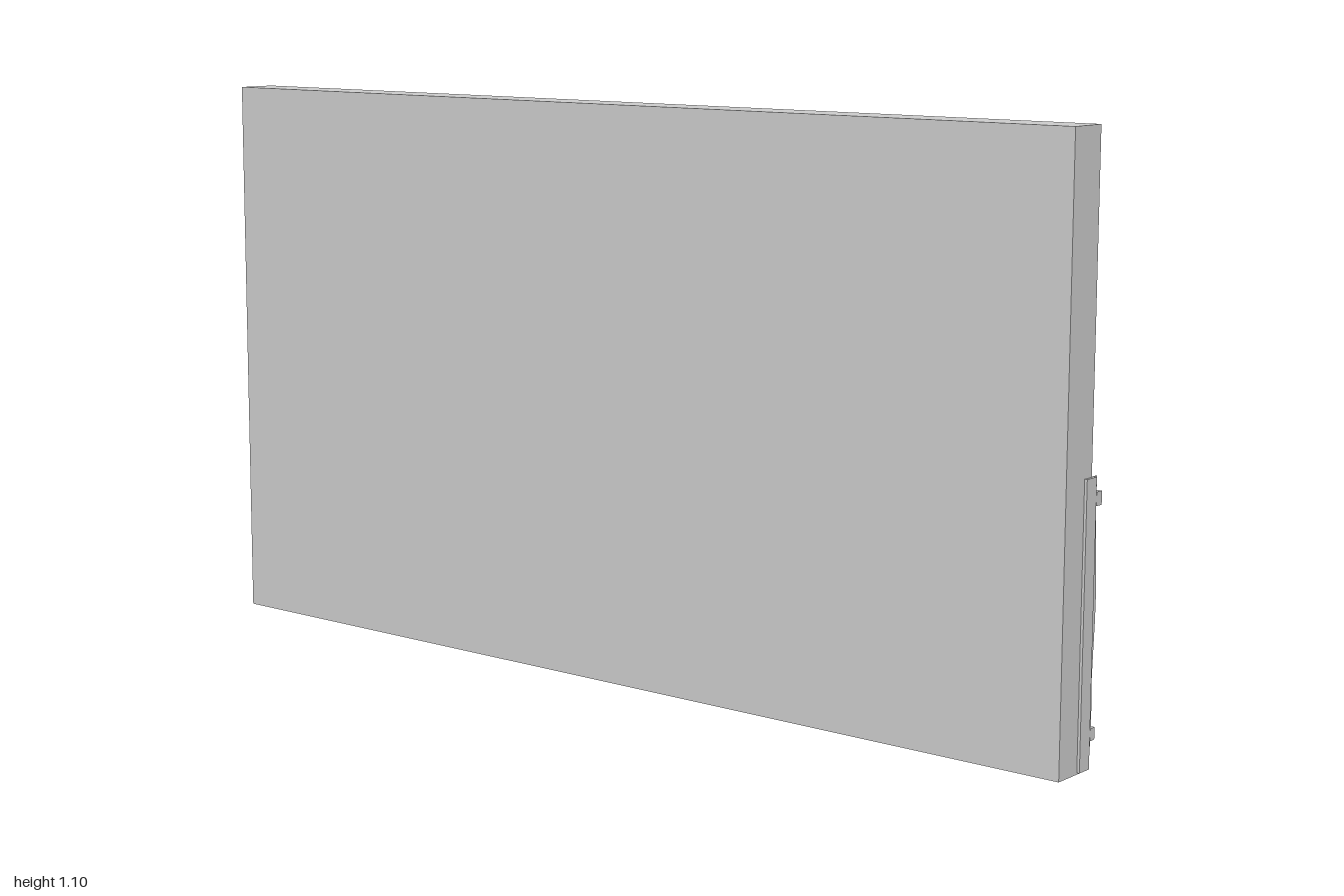
import * as THREE from 'three';

const material = new THREE.MeshStandardMaterial({ color: 0xcccccc, flatShading: true });

// Small seeded random, returns -1..1
function seeded(seed) {
  let s = seed;
  return () => {
    s = (s * 16807) % 2147483647;
    return (s / 2147483647) * 2 - 1;
  };
}

// Box given by its limits on each axis
function slab(name, [x0, x1], [y0, y1], [z0, z1]) {
  const mesh = new THREE.Mesh(new THREE.BoxGeometry(x1 - x0, y1 - y0, z1 - z0), material);
  mesh.position.set((x0 + x1) / 2, (y0 + y1) / 2, (z0 + z1) / 2);
  mesh.name = name;
  return mesh;
}

// Gentle warp of the planks along their height
const bow = new THREE.SplineCurve([
  [0.036, 0], [0.038, 0.1], [0.036, 0.25], [0.041, 0.4], [0.039, 0.47], [0.036, 0.53],
].map(([x, y]) => new THREE.Vector2(x, y)));

// One warped plank with a rounded face and a ragged top
function plank(z, width, rand, lift) {
  const rows = 10, cols = 4, bottom = 0.006, height = 0.502;
  const geo = new THREE.BoxGeometry(0.01, 1, 1, 1, rows, cols);
  const pos = geo.attributes.position;
  const ragged = Array.from({ length: cols + 1 }, () => rand() * 0.008 + 0.003);
  const sway = Array.from({ length: rows + 1 }, () => rand() * 0.002);
  const tilt = rand() * 0.003;
  for (let i = 0; i < pos.count; i++) {
    const t = pos.getY(i) + 0.5, u = pos.getZ(i);
    const row = Math.round(t * rows), col = Math.round((u + 0.5) * cols);
    const y = bottom + t * height + (row === rows ? ragged[col] : 0);
    const crown = 0.003 * (1 - 4 * u * u) - 0.002;
    const bulge = lift * Math.sin(Math.PI * t);
    const x = bow.getPoint(t).x + pos.getX(i) + crown + tilt * u + bulge;
    pos.setXYZ(i, x, y, z + u * width + sway[row]);
  }
  geo.computeVertexNormals();
  const mesh = new THREE.Mesh(geo, material);
  mesh.name = 'plank';
  return mesh;
}

export function createModel() {
  const model = new THREE.Group();
  model.name = 'panelledWall';

  // Wall and the thin board behind the planks
  model.add(slab('wall', [-0.058, 0.023], [0, 1.095], [-0.99, 0.995]));
  model.add(slab('backingBoard', [0, 0.031], [0.003, 0.508], [-1, 1]));

  // Row of planks, one of them sprung forward
  const planks = new THREE.Group();
  planks.name = 'planks';
  const rand = seeded(4711);
  const count = 32, pitch = 1.992 / count;
  for (let i = 0; i < count; i++) {
    const z = -0.996 + pitch * (i + 0.5);
    planks.add(plank(z, pitch - 0.001, rand, i === 19 ? 0.006 : rand() * 0.0015));
  }
  model.add(planks);

  // Horizontal rails across the planks
  model.add(slab('upperRail', [0.032, 0.049], [0.458, 0.482], [-1, 1]));
  model.add(slab('lowerRail', [0.032, 0.046], [0.052, 0.074], [-1, 1]));
  return model;
}
